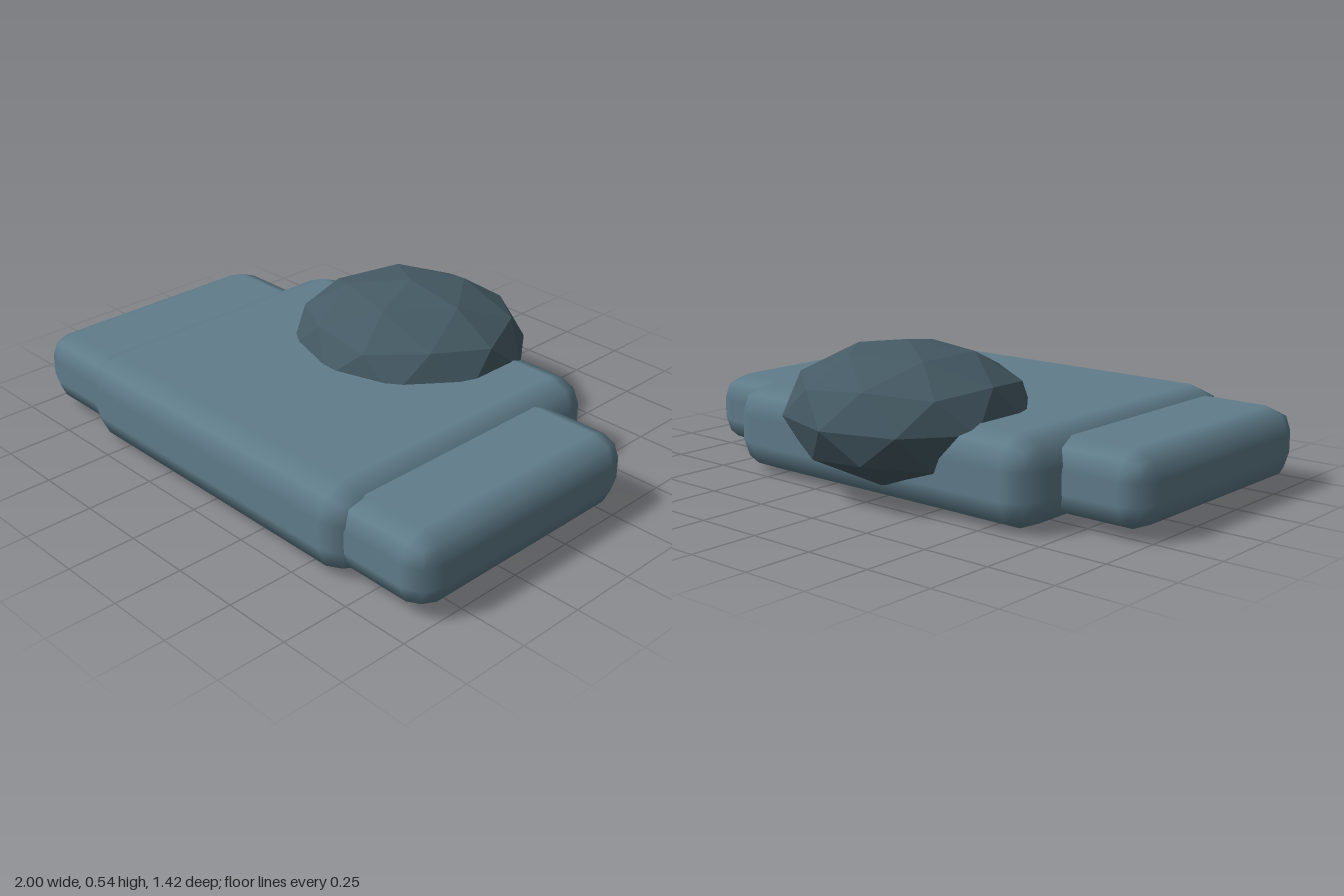
import * as THREE from 'three';
import { RoundedBoxGeometry } from 'three/addons/geometries/RoundedBoxGeometry.js';

export function createModel() {
  const model = new THREE.Group();
  const slabMaterial = new THREE.MeshStandardMaterial({ color: 0x607d8b });
  const domeMaterial = new THREE.MeshStandardMaterial({ color: 0x455a64, flatShading: true });

  // Slab with softly bevelled edges (two facets per edge)
  function addSlab(name, [w, h, d], radius, [x, y, z]) {
    const mesh = new THREE.Mesh(new RoundedBoxGeometry(w, h, d, 1, radius), slabMaterial);
    mesh.name = name;
    mesh.position.set(x, y, z);
    model.add(mesh);
  }

  // Wide middle slab and the lower wings on both sides
  addSlab('body', [1.39, 0.32, 1.21], 0.11, [0, 0.16, 0.105]);
  for (const side of [1, -1]) {
    addSlab(side > 0 ? 'leftWing' : 'rightWing', [0.48, 0.264, 0.995], 0.093, [side * 0.76, 0.157, 0.178]);
  }

  // Faceted, flattened ball at the back, turned so that a five-sided pole points up
  const ball = new THREE.IcosahedronGeometry(1, 1);
  ball.rotateX(-Math.atan((1 + Math.sqrt(5)) / 2));
  ball.rotateY(Math.PI / 10);
  ball.scale(0.452, 0.25, 0.428);
  const head = new THREE.Mesh(ball, domeMaterial);
  head.name = 'head';
  head.position.set(0, 0.286, -0.286);
  model.add(head);

  return model;
}
